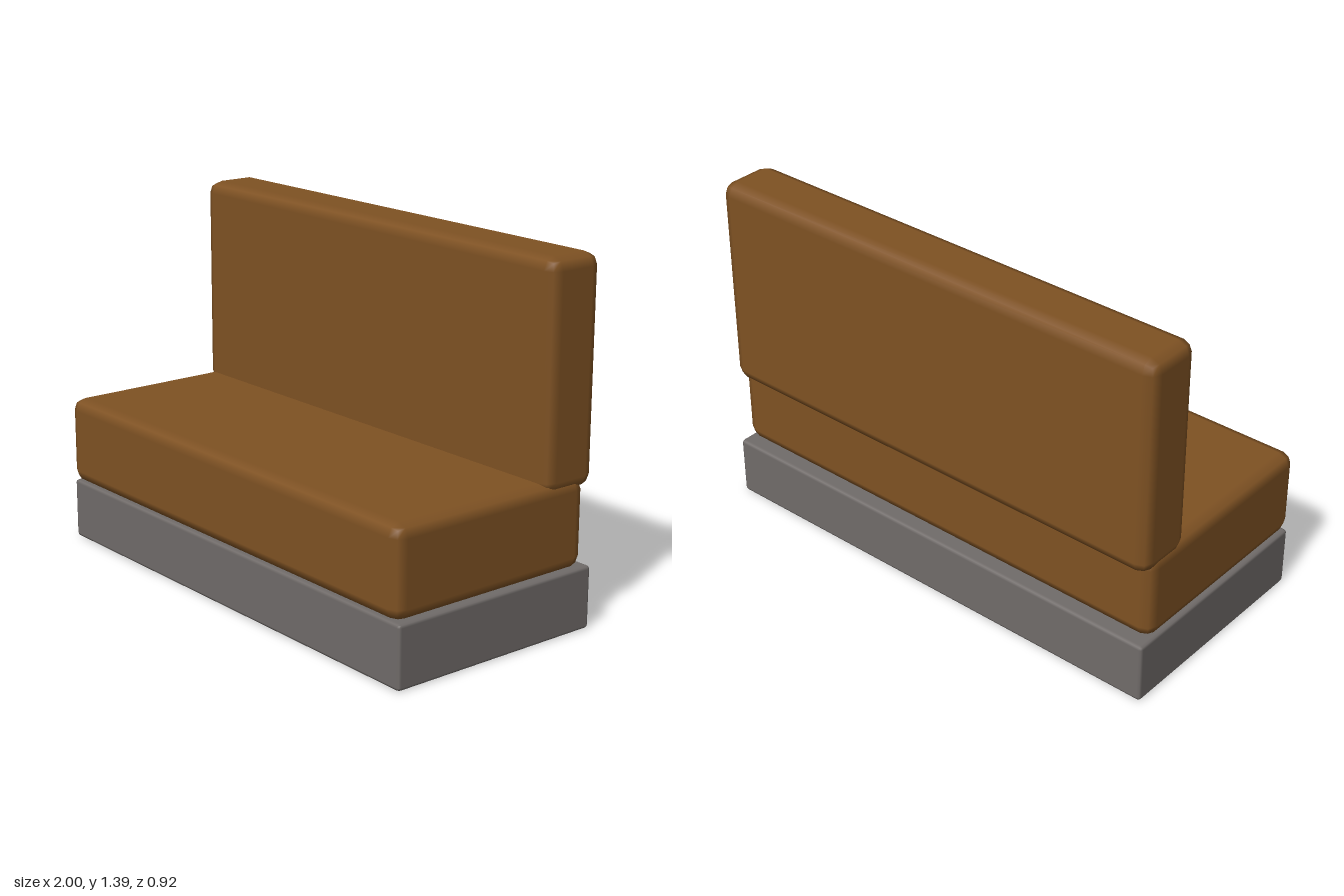
import * as THREE from 'three';
import { RoundedBoxGeometry } from 'three/addons/geometries/RoundedBoxGeometry.js';

export function createModel() {
  const group = new THREE.Group();
  group.name = 'boothBench';

  const leather = new THREE.MeshStandardMaterial({ color: 0x7f5223 });
  leather.name = 'brown leather';
  const plinthGrey = new THREE.MeshStandardMaterial({ color: 0x716c6a });
  plinthGrey.name = 'plinth grey';

  // Full-width softened block spanning the given heights and depths
  function addBlock(name, material, y0, y1, z0, z1, radius) {
    const geometry = new RoundedBoxGeometry(2, y1 - y0, z1 - z0, 1, radius);
    const mesh = new THREE.Mesh(geometry, material);
    mesh.name = name;
    mesh.position.set(0, (y0 + y1) / 2, (z0 + z1) / 2);
    group.add(mesh);
  }

  addBlock('base', plinthGrey, 0, 0.241, -0.46, 0.449, 0.013);
  addBlock('seatCushion', leather, 0.241, 0.587, -0.42, 0.462, 0.048);
  addBlock('backrest', leather, 0.54, 1.389, -0.46, -0.222, 0.048);

  return group;
}
